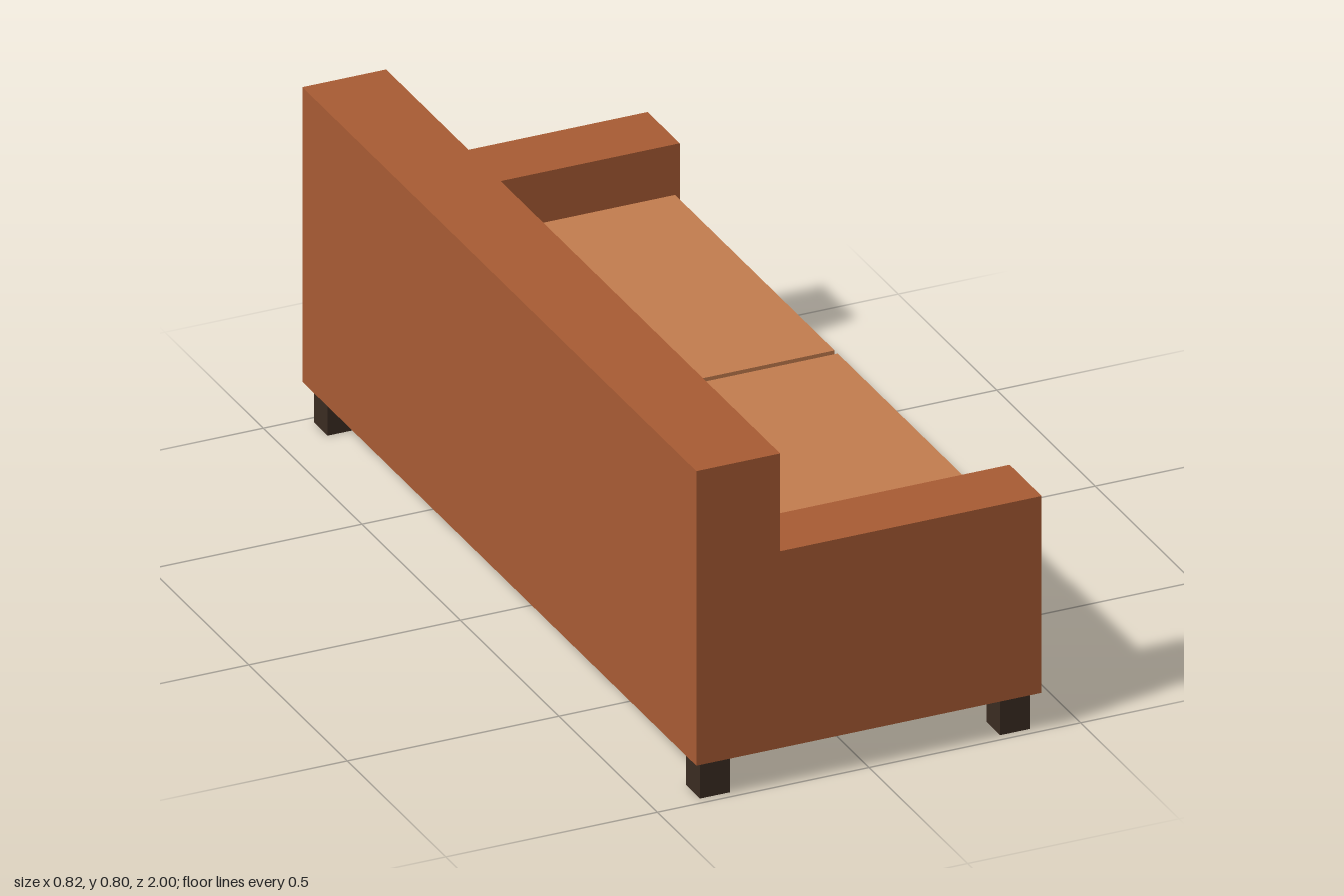
import * as THREE from 'three';

export function createModel() {
  const sofa = new THREE.Group();
  sofa.name = 'sofa';

  const material = (name, color) => {
    const m = new THREE.MeshStandardMaterial({ color });
    m.name = name;
    return m;
  };
  const upholstery = material('upholstery', 0xa95c34);
  const cushionFabric = material('cushionFabric', 0xc47d4f);
  const darkWood = material('darkWood', 0x3b2c22);

  // Box spanning two opposite corners
  const box = (name, mat, [x0, y0, z0], [x1, y1, z1]) => {
    const mesh = new THREE.Mesh(new THREE.BoxGeometry(x1 - x0, y1 - y0, z1 - z0), mat);
    mesh.position.set((x0 + x1) / 2, (y0 + y1) / 2, (z0 + z1) / 2);
    mesh.name = name;
    sofa.add(mesh);
  };

  const halfDepth = 0.408, backFront = -0.21;
  const bottom = 0.092, seatTop = 0.362, armTop = 0.565, backTop = 0.8;

  // Seat base and full-length backrest
  box('seatBase', upholstery, [-halfDepth, bottom, -1], [halfDepth, seatTop, 1]);
  box('backrest', upholstery, [-halfDepth, seatTop, -1], [backFront, backTop, 1]);

  // Armrest, cushion and two legs at each end
  for (const [end, s] of [['near', 1], ['far', -1]]) {
    const span = (a, b) => (s > 0 ? [a, b] : [-b, -a]);

    const [a0, a1] = span(0.837, 1);
    box(end + 'Armrest', upholstery, [backFront, seatTop, a0], [halfDepth, armTop, a1]);

    const [c0, c1] = span(0.008, 0.818);
    box(end + 'Cushion', cushionFabric, [-0.19, seatTop, c0], [0.388, 0.454, c1]);

    const [l0, l1] = span(0.91, 0.98);
    box(end + 'BackLeg', darkWood, [-0.39, 0, l0], [-0.319, bottom, l1]);
    box(end + 'FrontLeg', darkWood, [0.319, 0, l0], [0.39, bottom, l1]);
  }

  return sofa;
}
